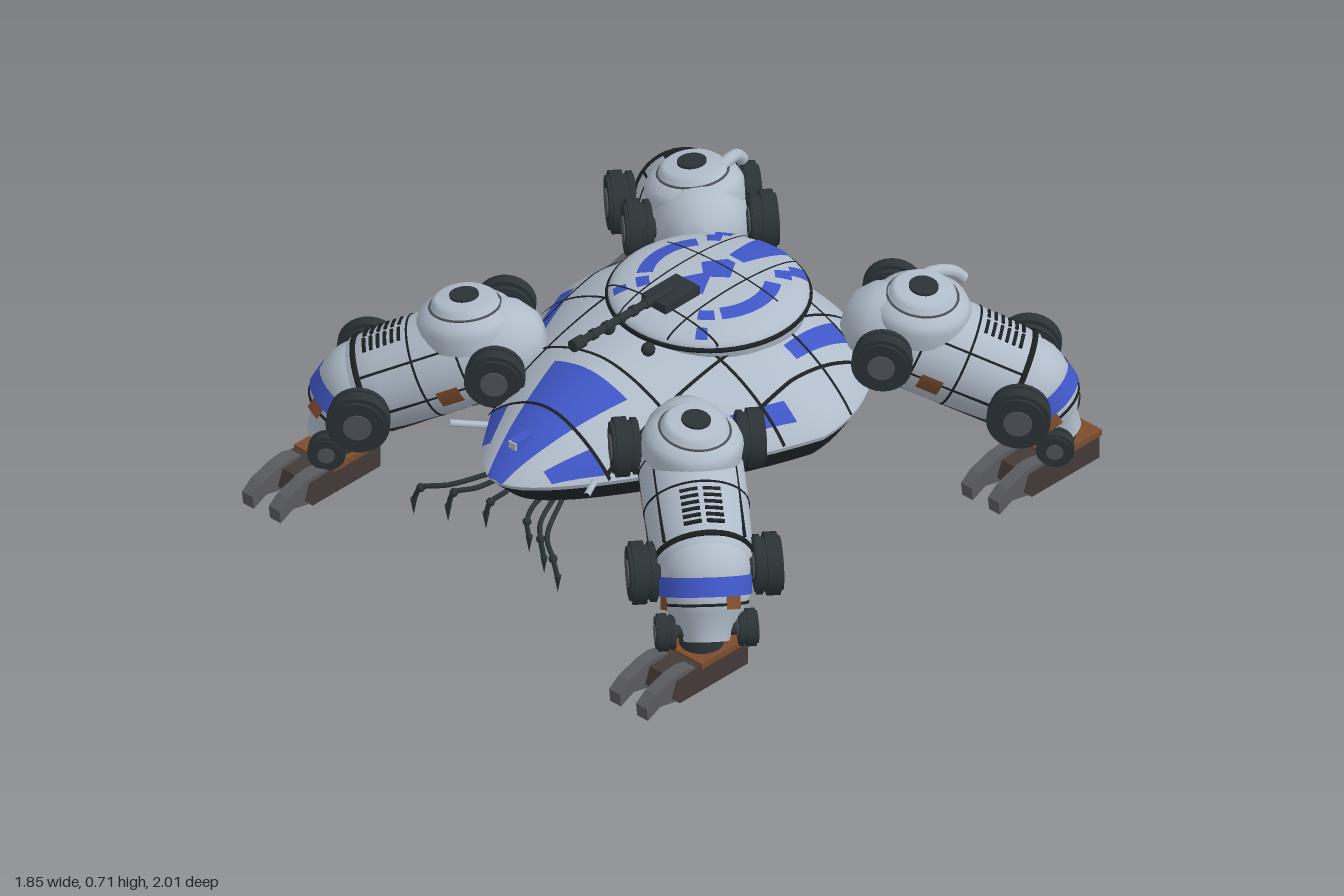
import * as THREE from 'three';

const mat = (name, color, double) => {
  const m = new THREE.MeshStandardMaterial({ color, side: double ? THREE.DoubleSide : THREE.FrontSide });
  m.name = name;
  return m;
};
const M = {
  plate: mat('pale plate', 0xb0bcc9), blue: mat('blue paint', 0x3f56c6, true),
  dark: mat('dark metal', 0x2b3336), line: mat('panel line', 0x1c2022, true),
  belly: mat('belly', 0x22272a), hub: mat('hub grey', 0x50545a),
  rust: mat('rust', 0x7c4c2e, true), foot: mat('foot brown', 0x423a37), claw: mat('claw grey', 0x5a5b5f),
};
const V = (x, y, z) => new THREE.Vector3(x, y, z);
const add = (parent, name, geo, material, x = 0, y = 0, z = 0) => {
  const m = new THREE.Mesh(geo, material);
  m.name = name;
  m.position.set(x, y, z);
  parent.add(m);
  return m;
};
const lathe = (pts, seg = 32) => new THREE.LatheGeometry(pts.map(p => new THREE.Vector2(p[0], p[1])), seg);
const aim = (name, from, to) => { // group whose +z runs from one point to another
  const g = new THREE.Group();
  g.name = name;
  g.position.copy(from);
  g.lookAt(to);
  return g;
};

// Surface from a rule f(u, v), facing up or down
function grid(f, nu, nv, up = 1) {
  const pos = [], idx = [];
  for (let j = 0; j <= nv; j++) for (let i = 0; i <= nu; i++) pos.push(...f(i / nu, j / nv));
  for (let j = 0; j < nv; j++) for (let i = 0; i < nu; i++) {
    const a = j * (nu + 1) + i, b = a + nu + 1;
    idx.push(a, b, a + 1, a + 1, b, b + 1);
  }
  const g = new THREE.BufferGeometry();
  g.setAttribute('position', new THREE.Float32BufferAttribute(pos, 3));
  g.setIndex(idx);
  g.computeVertexNormals();
  const n = g.attributes.normal;
  let sum = 0;
  for (let i = 0; i < n.count; i++) sum += n.getY(i);
  if (sum * up < 0) {
    g.setIndex(idx.map((_, i) => idx[i - (i % 3) + 2 - (i % 3)]));
    g.computeVertexNormals();
  }
  return g;
}

// Egg-shaped hull: plan outline, dome height and the point above (x, z)
const ZC = -0.08, W = 0.55;
const depth = c => (c > 0 ? 0.86 : 0.53);
const width = c => W * Math.sqrt(Math.max(0, 1 - c * c)) * (1 - 0.47 * Math.max(0, c));
const hullY = s => 0.37 + 0.225 * Math.pow(Math.max(0, 1 - Math.pow(s, 2.8)), 0.9);
const ring = (t, s, y) => {
  const c = Math.cos(t);
  return [Math.sign(Math.sin(t)) * width(c) * s, y, ZC + depth(c) * c * s];
};
function onHull(x, z) {
  const dz = z - ZC;
  let lo = Math.abs(dz) / depth(dz) + 1e-5, hi = 3;
  for (let i = 0; i < 32; i++) {
    const s = (lo + hi) / 2;
    if (width(dz / s / depth(dz)) * s < Math.abs(x)) lo = s; else hi = s;
  }
  const k = (hi > 1 ? 1 / hi : 1) * (1 + 0.006 * Math.min(hi, 1));
  return [x * k, hullY(Math.min(hi, 1)) + 0.004, ZC + dz * k];
}
const TZ = -0.15, TR = 0.305, TH = 0.066;
const onTurret = (x, z) => {
  const q = Math.min(1, (x * x + (z - TZ) ** 2) / TR ** 2);
  return [x, 0.6 + TH * Math.sqrt(1 - q) + 0.004, z];
};
// Paint a quad (corners a b / c d in x, z) onto a surface
const drape = (surf, [a, b, c, d], nu = 10, nv = 10) => grid((u, v) => {
  const mix = i => (a[i] * (1 - u) + b[i] * u) * (1 - v) + (c[i] * (1 - u) + d[i] * u) * v;
  return surf(mix(0), mix(1));
}, nu, nv);
const ease = u => 0.5 + 0.5 * Math.sin(Math.PI * (u - 0.5));
const strip = (surf, a, b, w = 0.005) => grid((u, v) => {
  const e = ease(u), alongX = a[1] === b[1], o = (v - 0.5) * 2 * w;
  const [x, y, z] = surf(a[0] + (b[0] - a[0]) * e + (alongX ? 0 : o), a[1] + (b[1] - a[1]) * e + (alongX ? o : 0));
  return [x, y + 0.002, z];
}, 40, 1);

function buildBody(root) {
  const g = new THREE.Group();
  g.name = 'body';
  root.add(g);
  const T = 2 * Math.PI;
  add(g, 'upperHull', grid((u, v) => { const s = Math.sin(v * Math.PI / 2); return ring(u * T, s, hullY(s)); }, 72, 28), M.plate);
  add(g, 'hullRim', grid((u, v) => ring(u * T, 1 - 0.01 * v, 0.37 - 0.015 * v), 72, 1, -1), M.plate);
  add(g, 'lowerHull', grid((u, v) => ring(u * T, 0.99 - 0.09 * v, 0.355 - 0.075 * v), 72, 2, -1), M.belly);
  add(g, 'bellyPlate', grid((u, v) => ring(u * T, 0.9 * v, 0.28), 72, 1, -1), M.belly);
  for (const z of [-0.4, -0.21, 0.05, 0.3, 0.54]) {
    const x = width((z - ZC) / depth(z - ZC));
    add(g, 'hullSeam', strip(onHull, [-x, z], [x, z]), M.line);
  }
  for (const s of [-1, 1]) {
    add(g, 'hullSeam', strip(onHull, [s * 0.24, -0.556], [s * 0.24, 0.54]), M.line);
    add(g, 'hullSeam', strip(onHull, [s * 0.41, -0.43], [s * 0.41, 0.28]), M.line);
    const paint = (...q) => add(g, 'hullPaint', drape(onHull, q.map(p => [p[0] * s, p[1]])), M.blue);
    paint([0.27, -0.41], [0.345, -0.39], [0.31, -0.15], [0.365, -0.15]);
    paint([0.435, -0.02], [0.49, -0.02], [0.345, 0.21], [0.395, 0.21]);
    paint([0.17, 0.54], [0.24, 0.54], [0.11, 0.68], [0.145, 0.68]);
    // Bars beside the nose and dark sensor balls
    const bar = new THREE.LineCurve3(V(s * 0.17, 0.35, 0.5), V(s * 0.285, 0.4, 0.68));
    add(g, 'noseBar', new THREE.TubeGeometry(bar, 1, 0.011, 8), M.plate);
    add(g, 'sensor', new THREE.SphereGeometry(0.022, 14, 10), M.dark, s * 0.083, 0.605, 0.2);
    // Small jointed claws under the nose
    for (const [x, y, z] of [[0.08, 0.23, 0.72], [0.19, 0.24, 0.77], [0.29, 0.235, 0.815]]) {
      const path = new THREE.CatmullRomCurve3([V(s * (0.04 + x * 0.25), 0.28, 0.6), V(s * x * 0.7, 0.255, z - 0.05),
        V(s * x * 0.95, y, z), V(s * (x + 0.01), 0.18, z + 0.005)]);
      add(g, 'underClaw', new THREE.TubeGeometry(path, 14, 0.008, 8), M.dark);
      add(g, 'clawJoint', new THREE.SphereGeometry(0.014, 10, 8), M.dark, s * x * 0.95, y, z);
      const tip = add(g, 'clawTip', new THREE.ConeGeometry(0.011, 0.06, 8), M.dark, s * (x + 0.01), 0.158, z + 0.005);
      tip.rotation.x = Math.PI;
    }
  }
  add(g, 'nosePaint', drape(onHull, [[-0.15, 0.36], [0.15, 0.36], [-0.075, 0.63], [0.075, 0.63]], 12, 14), M.blue);
  add(g, 'nosePaint', drape(onHull, [[-0.075, 0.63], [0.075, 0.63], [-0.03, 0.778], [0.03, 0.778]], 8, 20), M.blue);
  add(g, 'noseSensor', new THREE.BoxGeometry(0.03, 0.03, 0.13), M.blue, 0, 0.462, 0.635);
  add(g, 'noseLens', new THREE.BoxGeometry(0.03, 0.024, 0.008), M.plate, 0, 0.462, 0.702);
}

function buildTurret(root) {
  const g = new THREE.Group();
  g.name = 'turret';
  root.add(g);
  const dome = new THREE.SphereGeometry(TR, 48, 14, 0, 2 * Math.PI, 0, Math.PI / 2).scale(1, TH / TR, 1);
  add(g, 'turretDome', dome, M.plate, 0, 0.6, TZ);
  add(g, 'turretSkirt', new THREE.CylinderGeometry(TR, TR - 0.02, 0.1, 48, 1, true), M.plate, 0, 0.55, TZ);
  add(g, 'turretRing', new THREE.TorusGeometry(TR, 0.008, 8, 56).rotateX(Math.PI / 2), M.line, 0, 0.596, TZ);
  for (const x of [-0.1, 0.1]) add(g, 'turretSeam', strip(onTurret, [x, TZ - 0.285], [x, TZ + 0.285], 0.003), M.line);
  for (const z of [-0.21, 0.05]) add(g, 'turretSeam', strip(onTurret, [-0.23, z], [0.23, z], 0.003), M.line);
  const paint = (z0, w0, z1, w1) =>
    add(g, 'turretPaint', drape(onTurret, [[-w0, z0], [w0, z0], [-w1, z1], [w1, z1]]), M.blue);
  paint(-0.45, 0.065, -0.27, 0.03);
  paint(-0.25, 0.015, -0.18, 0.06);
  paint(-0.18, 0.06, -0.14, 0.015);
  paint(-0.14, 0.015, -0.06, 0.06);
  const arc = (r0, r1, a0, a1) => add(g, 'turretPaint', grid((u, v) => {
    const r = r0 + (r1 - r0) * v, a = a0 + (a1 - a0) * u;
    return onTurret(r * Math.sin(a), TZ + r * Math.cos(a));
  }, 14, 4), M.blue);
  for (const s of [-1, 1]) {
    arc(0.17, 0.22, s * 0.95, s * 2.2);
    arc(0.18, 0.22, s * 0.6, s * 0.85);
    arc(0.2, 0.25, s * 2.35, s * 2.55);
    arc(0.25, 0.3, s * 2.45, s * 2.65);
    arc(0.25, 0.29, s * 0.62, s * 0.75);
  }
  // Gun with ringed barrel
  add(g, 'gunMount', new THREE.BoxGeometry(0.1, 0.03, 0.15), M.dark, 0, 0.676, 0.015);
  const rod = (name, r, len, z) => add(g, name, new THREE.CylinderGeometry(r, r, len, 14).rotateX(Math.PI / 2), M.dark, 0, 0.695, z);
  rod('barrel', 0.013, 0.42, 0.22);
  rod('muzzle', 0.02, 0.045, 0.42);
  for (let i = 0; i < 5; i++) rod('barrelRing', 0.017, 0.018, 0.12 + i * 0.058);
}

// Pair of stepped wheels on the sides of a limb, axle along local x
function wheels(g, r, half, t, z) {
  for (const s of [-1, 1]) {
    const disc = (name, rad, len, off, m) =>
      add(g, name, new THREE.CylinderGeometry(rad, rad, len, 28).rotateZ(Math.PI / 2), m, s * (half + off), 0, z);
    disc('wheelCore', r * 0.86, t * 2, 0, M.dark);
    disc('wheelTread', r, t * 0.95, t * 0.3, M.dark);
    disc('wheelTread', r * 0.95, t * 0.4, -t * 0.7, M.dark);
    disc('wheelHub', r * 0.45, t * 2.2, 0, M.hub);
  }
  add(g, 'axle', new THREE.CylinderGeometry(r * 0.35, r * 0.35, half * 2, 14).rotateZ(Math.PI / 2), M.dark, 0, 0, z);
}
const band = (r, len, a0, a1) => new THREE.CylinderGeometry(r, r, len, 16, 1, true, a0, a1 - a0).rotateX(Math.PI / 2);

function buildLeg(root, sx, sz) {
  const leg = new THREE.Group();
  leg.name = (sz > 0 ? 'front' : 'rear') + (sx > 0 ? 'Left' : 'Right') + 'Leg';
  root.add(leg);
  const P = (x, y, z) => V(sx * x, y, sz > 0 ? z : -0.17 - z);
  const hip = P(0.39, 0.485, 0.35), knee = P(0.71, 0.305, 0.61), ankle = P(0.785, 0.13, 0.68);

  // Upper leg barrel with seams, vents and worn patches
  const up = aim('upperLeg', hip, knee);
  leg.add(up);
  add(up, 'upperShell', lathe([[0, -0.14], [0.06, -0.13], [0.11, -0.085], [0.138, -0.03], [0.152, 0.04], [0.159, 0.1], [0.16, 0.2],
    [0.155, 0.36], [0.148, 0.44], [0.12, 0.47]]).rotateX(Math.PI / 2), M.plate);
  for (const [z, r] of [[0.1, 0.157], [0.24, 0.158], [0.42, 0.149]])
    add(up, 'legSeam', new THREE.TorusGeometry(r, z > 0.4 ? 0.01 : 0.004, 6, 40), M.line, 0, 0, z);
  for (const a of [0.9, 1.75, 2.6, -0.9, -1.75, -2.6]) {
    const b = add(up, 'legSeam', new THREE.BoxGeometry(0.007, 0.008, 0.32), M.line, Math.sin(a) * 0.156, Math.cos(a) * 0.156, 0.25);
    b.rotation.z = -a;
  }
  for (let i = 0; i < 6; i++) for (const s of [-1, 1]) {
    const slat = add(up, 'vent', new THREE.BoxGeometry(0.055, 0.008, 0.01), M.line, s * 0.035, 0.152, 0.265 + i * 0.023);
    slat.rotation.z = -s * 0.23;
  }
  for (const [a, z] of [[1.1, 0.17], [-1.5, 0.17], [0.35, 0.1], [-0.35, 0.35], [0.1, 0.35]])
    add(up, 'rustPatch', band(0.1615, 0.07, a, a + 0.4), M.rust, 0, 0, z);
  wheels(up, 0.092, 0.19, 0.042, 0);
  wheels(up, 0.097, 0.19, 0.042, 0.45);

  // Knee and lower leg with painted band
  add(leg, 'knee', new THREE.SphereGeometry(0.14, 28, 18), M.plate, knee.x, knee.y, knee.z);
  const low = aim('lowerLeg', knee, ankle);
  leg.add(low);
  add(low, 'lowerShell', lathe([[0.13, -0.03], [0.138, 0.03], [0.134, 0.09], [0.115, 0.13], [0.085, 0.17], [0.07, 0.22]])
    .rotateX(Math.PI / 2), M.plate);
  add(low, 'blueBand', new THREE.CylinderGeometry(0.142, 0.142, 0.06, 32, 1, true).rotateX(Math.PI / 2), M.blue, 0, 0, 0.05);
  add(low, 'lowerSeam', new THREE.TorusGeometry(0.128, 0.005, 6, 36), M.line, 0, 0, 0.105);
  for (const a of [0.6, 2.3, 4.2, 5.4]) add(low, 'rustPatch', band(0.137, 0.04, a, a + 0.4), M.rust, 0, 0, 0.1);
  for (const a of [-1.3, 1]) add(low, 'rustPatch', band(0.1425, 0.04, a, a + 0.35), M.rust, 0, 0, -0.005);
  const ank = aim('ankleWheels', P(0.785, 0.15, 0.68), P(1.551, 0.15, 1.323));
  leg.add(ank);
  wheels(ank, 0.058, 0.125, 0.03, 0);

  // Hip turntable, leaning outward
  const h = P(0.465, 0.5, 0.41);
  const cap = add(leg, 'hipCap', lathe([[0.15, 0.01], [0.152, 0.065], [0.14, 0.09], [0.115, 0.105], [0.105, 0.108],
    [0.1, 0.125], [0.085, 0.137], [0, 0.14]], 36), M.plate, h.x, h.y, h.z);
  cap.rotation.z = -sx * 0.13;
  add(cap, 'hipSeam', new THREE.TorusGeometry(0.108, 0.004, 6, 40).rotateX(Math.PI / 2), M.hub, 0, 0.108, 0);
  add(cap, 'hipBolt', new THREE.CylinderGeometry(0.045, 0.045, 0.016, 20), M.dark, 0, 0.138, 0);
  if (sz < 0) {
    const pipe = new THREE.CatmullRomCurve3([V(sx * 0.42, 0.59, -0.57), V(sx * 0.425, 0.62, -0.66),
      V(sx * 0.45, 0.6, -0.74), V(sx * 0.46, 0.565, -0.775)]);
    add(leg, 'hipPipe', new THREE.TubeGeometry(pipe, 14, 0.02, 10), M.plate);
  } else {
    add(cap, 'hipRust', new THREE.CylinderGeometry(0.154, 0.154, 0.03, 12, 1, true, sx > 0 ? 3.9 : 1.6, 0.8), M.rust, 0, 0.05, 0);
  }

  // Foot, always pointing forward, with two hooked claws
  const foot = new THREE.Group();
  foot.name = 'foot';
  foot.position.set(sx * 0.765, 0, sz > 0 ? 0.68 : -0.85);
  leg.add(foot);
  const side = (pts, w) => new THREE.ExtrudeGeometry(new THREE.Shape(pts.map(p => new THREE.Vector2(p[0], p[1]))),
    { depth: w, bevelEnabled: false }).translate(0, 0, -w / 2).rotateY(-Math.PI / 2);
  add(foot, 'footBlock', side([[-0.115, 0], [0.18, 0.0], [0.21, 0.03], [0.19, 0.085], [0.1, 0.09], [-0.115, 0.08]], 0.165), M.foot);
  add(foot, 'footPlate', new THREE.BoxGeometry(0.17, 0.02, 0.21), M.rust, 0, 0.088, -0.018);
  add(foot, 'ankle', new THREE.CylinderGeometry(0.06, 0.07, 0.08, 20), M.dark, 0, 0.125, 0);
  for (const s of [-1, 1])
    add(foot, 'claw', side([[0.13, 0.01], [0.2, 0.012], [0.26, 0.025], [0.315, 0], [0.32, 0.045], [0.28, 0.075],
      [0.2, 0.1], [0.15, 0.105], [0.11, 0.095]], 0.045), M.claw, s * 0.056, 0, 0);
}

export function createModel() {
  const root = new THREE.Group();
  root.name = 'walker';
  buildBody(root);
  buildTurret(root);
  for (const sx of [-1, 1]) for (const sz of [-1, 1]) buildLeg(root, sx, sz);
  return root;
}
